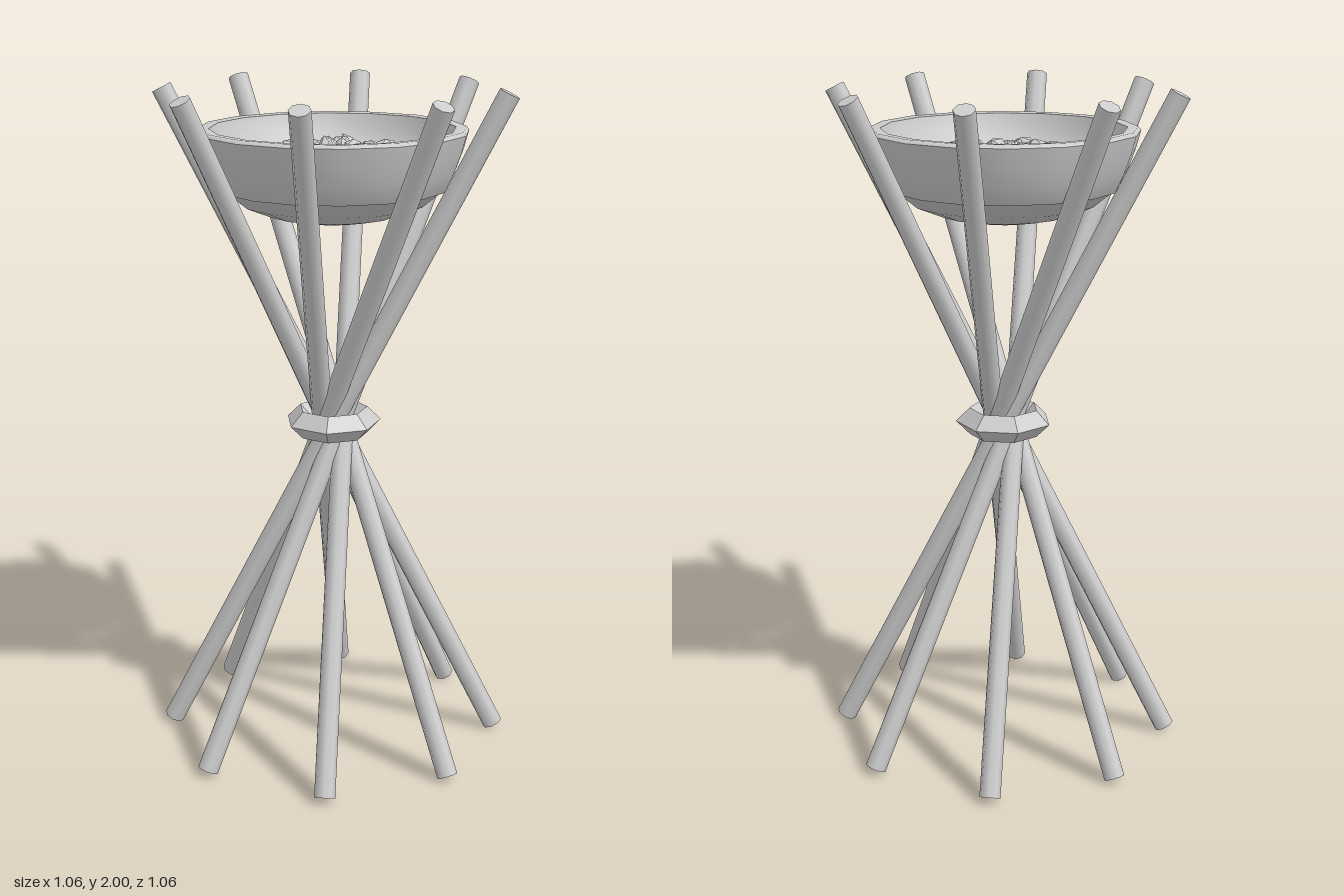
import * as THREE from 'three';

const UP = new THREE.Vector3(0, 1, 0);

function pole(from, to, radius, material) {
  const dir = to.clone().sub(from);
  const mesh = new THREE.Mesh(new THREE.CylinderGeometry(radius, radius, dir.length(), 8), material);
  mesh.position.copy(from).add(to).multiplyScalar(0.5);
  mesh.quaternion.setFromUnitVectors(UP, dir.normalize());
  return mesh;
}

// Small seeded generator for the coals
function seeded(seed) {
  return () => {
    seed = (seed * 16807) % 2147483647;
    return seed / 2147483647;
  };
}

export function createModel() {
  const group = new THREE.Group();
  const grey = new THREE.MeshStandardMaterial({ color: 0xcccccc });
  const faceted = new THREE.MeshStandardMaterial({ color: 0xcccccc, flatShading: true });

  // Eight crossing poles, each passing just beside the centre line
  const poles = new THREE.Group();
  poles.name = 'poles';
  for (let i = 0; i < 8; i++) {
    const a = (i * Math.PI) / 4;
    const out = new THREE.Vector3(Math.cos(a), 0, Math.sin(a));
    const side = new THREE.Vector3(-Math.sin(a), 0, Math.cos(a));
    const top = out.clone().multiplyScalar(0.503).addScaledVector(side, 0.02).setY(1.986);
    const bottom = out.clone().multiplyScalar(-0.503).addScaledVector(side, 0.042).setY(0.014);
    const mesh = pole(bottom, top, 0.031, grey);
    mesh.name = `pole${i + 1}`;
    poles.add(mesh);
  }
  group.add(poles);

  // Binding ring around the crossing
  const ring = new THREE.Mesh(new THREE.TorusGeometry(0.104, 0.041, 4, 7), faceted);
  ring.name = 'bindingRing';
  ring.rotation.set(Math.PI / 2, 0, THREE.MathUtils.degToRad(186.4));
  ring.position.y = 1.005;
  group.add(ring);

  // Bowl: outer shell, rim and inner surface
  const bowl = new THREE.Group();
  bowl.name = 'bowl';
  const lathe = (name, profile) => {
    const points = profile.map(([r, y]) => new THREE.Vector2(r, y));
    const mesh = new THREE.Mesh(new THREE.LatheGeometry(points, 16, Math.PI / 16), grey);
    mesh.name = name;
    bowl.add(mesh);
  };
  lathe('bowlBase', [[0, 1.61], [0.1, 1.615], [0.19, 1.633], [0.27, 1.665], [0.325, 1.71]]);
  lathe('bowlWall', [[0.325, 1.71], [0.335, 1.71], [0.36, 1.765], [0.38, 1.82], [0.394, 1.872]]);
  lathe('bowlRim', [[0.394, 1.872], [0.385, 1.882], [0.355, 1.88]]);
  lathe('bowlInside', [[0.355, 1.88], [0.342, 1.835], [0.315, 1.79], [0.26, 1.755], [0.15, 1.735], [0, 1.73]]);
  group.add(bowl);

  // Heap of elongated coals, spread by the golden angle
  const coals = new THREE.Group();
  coals.name = 'coals';
  const random = seeded(71);
  const coalGeometry = new THREE.IcosahedronGeometry(1, 0);
  const count = 90;
  for (let i = 0; i < count; i++) {
    const r = 0.225 * Math.sqrt((i + 0.5) / count);
    const a = i * 2.39996 + random() * 0.3;
    const coal = new THREE.Mesh(coalGeometry, faceted);
    coal.name = 'coal';
    coal.scale.set(0.022, 0.022, 0.038);
    coal.position.set(r * Math.cos(a), 1.765 + 0.045 * random() + 0.02 * (1 - r / 0.225), r * Math.sin(a));
    coal.rotation.set((random() - 0.5) * 1.6, random() * Math.PI * 2, random() * Math.PI);
    coals.add(coal);
  }
  group.add(coals);

  return group;
}
